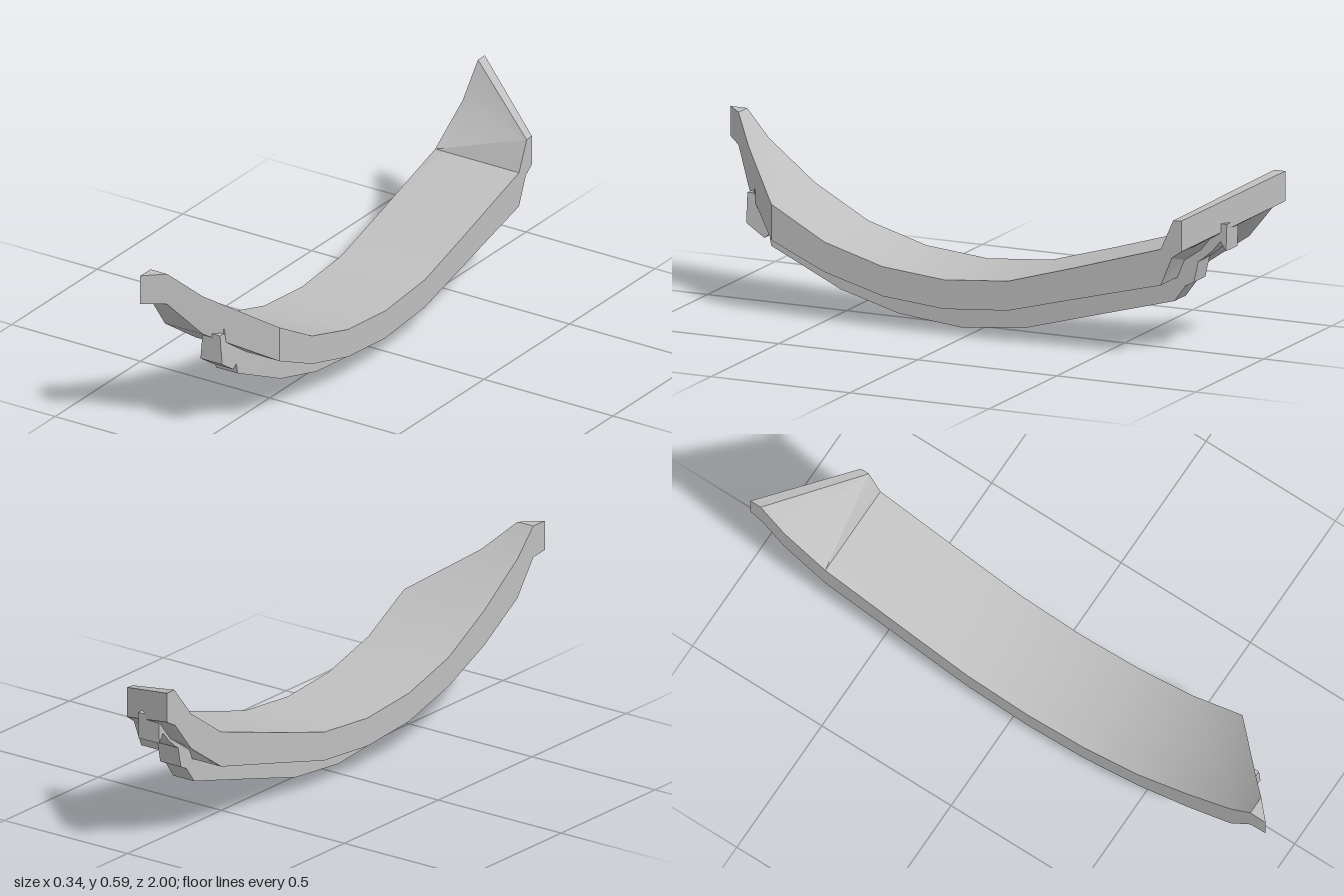
import * as THREE from 'three';
import { toCreasedNormals } from 'three/addons/utils/BufferGeometryUtils.js';

const grey = new THREE.MeshStandardMaterial({ color: 0xbfbfbf });
grey.name = 'plain grey';

const lerp = THREE.MathUtils.lerp;

// lengthwise curve of the slab: z, top y, bottom y
const curve = [
  [1, 0.59, 0.49], [0.94, 0.59, 0.482], [0.86, 0.5, 0.365], [0.69, 0.37, 0.25],
  [0.5, 0.265, 0.165], [0.29, 0.205, 0.107], [0.07, 0.185, 0.088],
  [-0.16, 0.205, 0.107], [-0.4, 0.275, 0.17], [-0.71, 0.37, 0.25],
];

function curveY(z, k) {
  for (let i = 1; i < curve.length; i++) {
    const a = curve[i - 1], b = curve[i];
    if (z >= b[0]) return lerp(b[k], a[k], (z - b[0]) / (a[0] - b[0]));
  }
  return curve[curve.length - 1][k];
}

// raised tail rows: [z, y] at the +x edge and at the -x edge, for top and bottom
const tail = [
  { top: [[-0.755, 0.47], [-0.71, 0.37]], bottom: [[-0.75, 0.345], [-0.71, 0.25]] },
  { top: [[-0.755, 0.47], [-0.87, 0.48]], bottom: [[-0.75, 0.345], [-0.87, 0.36]] },
  { top: [[-0.755, 0.47], [-0.96, 0.59]], bottom: [[-0.75, 0.345], [-0.955, 0.465]] },
  { top: [[-0.785, 0.472], [-1, 0.59]], bottom: [[-0.785, 0.37], [-1, 0.49]] },
];

function slabGeometry() {
  const cutZ = (x) => Math.min(1, 0.69 + (0.165 - x) * 0.925);
  const cols = [-0.16, -0.105, -0.019, 0.165];
  const rows = [];

  // main rows, clipped by the diagonal front cut
  curve.forEach(([station], i) => {
    const row = cols.map((c, j) => {
      const x = j === 0 ? c - [0.01, 0.009, 0.006][i] || c : c;
      const z = Math.min(station, cutZ(x));
      return { top: [x, curveY(z, 1), z], bottom: [x, curveY(z, 2), z] };
    });
    rows.push(row);
  });

  // tail rows
  for (const r of tail) {
    rows.push(cols.map((x) => {
      const t = (0.165 - x) / 0.325;
      const at = ([p, q]) => [x, lerp(p[1], q[1], t), lerp(p[0], q[0], t)];
      return { top: at(r.top), bottom: at(r.bottom) };
    }));
  }

  const pos = [];
  const tri = (...pts) => {
    const [a, b, c] = pts.map((p) => new THREE.Vector3(...p));
    if (b.clone().sub(a).cross(c.clone().sub(a)).length() > 1e-7) pos.push(...pts.flat());
  };
  const quad = (a, b, c, d) => { tri(a, b, c); tri(a, c, d); };

  // skin around each pair of neighbouring rows
  const ring = (row) => [...row.map((p) => p.top), ...row.map((p) => p.bottom).reverse()];
  for (let i = 0; i + 1 < rows.length; i++) {
    const a = ring(rows[i]), b = ring(rows[i + 1]);
    for (let j = 0; j < a.length; j++) {
      const k = (j + 1) % a.length;
      quad(a[j], a[k], b[k], b[j]);
    }
  }
  // diagonal end faces
  const first = rows[0], last = rows[rows.length - 1];
  for (let j = 0; j + 1 < cols.length; j++) {
    quad(first[j].top, first[j].bottom, first[j + 1].bottom, first[j + 1].top);
    quad(last[j].top, last[j + 1].top, last[j + 1].bottom, last[j].bottom);
  }
  const g = new THREE.BufferGeometry();
  g.setAttribute('position', new THREE.Float32BufferAttribute(pos, 3));
  return toCreasedNormals(g, 0.45);
}

function keelGeometry() {
  // side outline as z, y: notched front, curved underside, stepped rear, hidden top
  const outline = [
    [0.82, 0.365], [0.84, 0.365], [0.84, 0.265], [0.775, 0.222], [0.757, 0.235], [0.75, 0.198],
    [0.69, 0.17], [0.5, 0.08], [0.29, 0.022], [0.07, 0], [-0.16, 0.022], [-0.4, 0.088],
    [-0.7, 0.17], [-0.74, 0.225], [-0.77, 0.24], [-0.785, 0.31], [-0.8, 0.32], [-0.835, 0.35],
    [-0.865, 0.385], [-0.885, 0.355], [-0.888, 0.445], [-0.86, 0.445],
    [-0.79, 0.4], [-0.7, 0.31], [-0.4, 0.22], [-0.16, 0.15], [0.07, 0.13], [0.29, 0.15],
    [0.5, 0.21], [0.69, 0.305], [0.815, 0.38], [0.815, 0.36],
  ].map(([z, y]) => new THREE.Vector2(z, y));
  const g = new THREE.ExtrudeGeometry(new THREE.Shape(outline), { depth: 0.084, bevelEnabled: false });
  g.rotateY(-Math.PI / 2).translate(0.042, 0, 0);
  // narrow the front block toward its top
  const p = g.attributes.position;
  for (let i = 0; i < p.count; i++) {
    if (p.getZ(i) > 0.8) p.setX(i, p.getX(i) * (1 - Math.max(0, p.getY(i) - 0.265) * 2));
  }
  return toCreasedNormals(g, 0.45);
}

export function createModel() {
  const group = new THREE.Group();
  group.name = 'curvedBeam';
  const add = (name, geometry) => {
    const mesh = new THREE.Mesh(geometry, grey);
    mesh.name = name;
    group.add(mesh);
  };
  add('curvedSlab', slabGeometry());
  add('keel', keelGeometry());
  return group;
}
